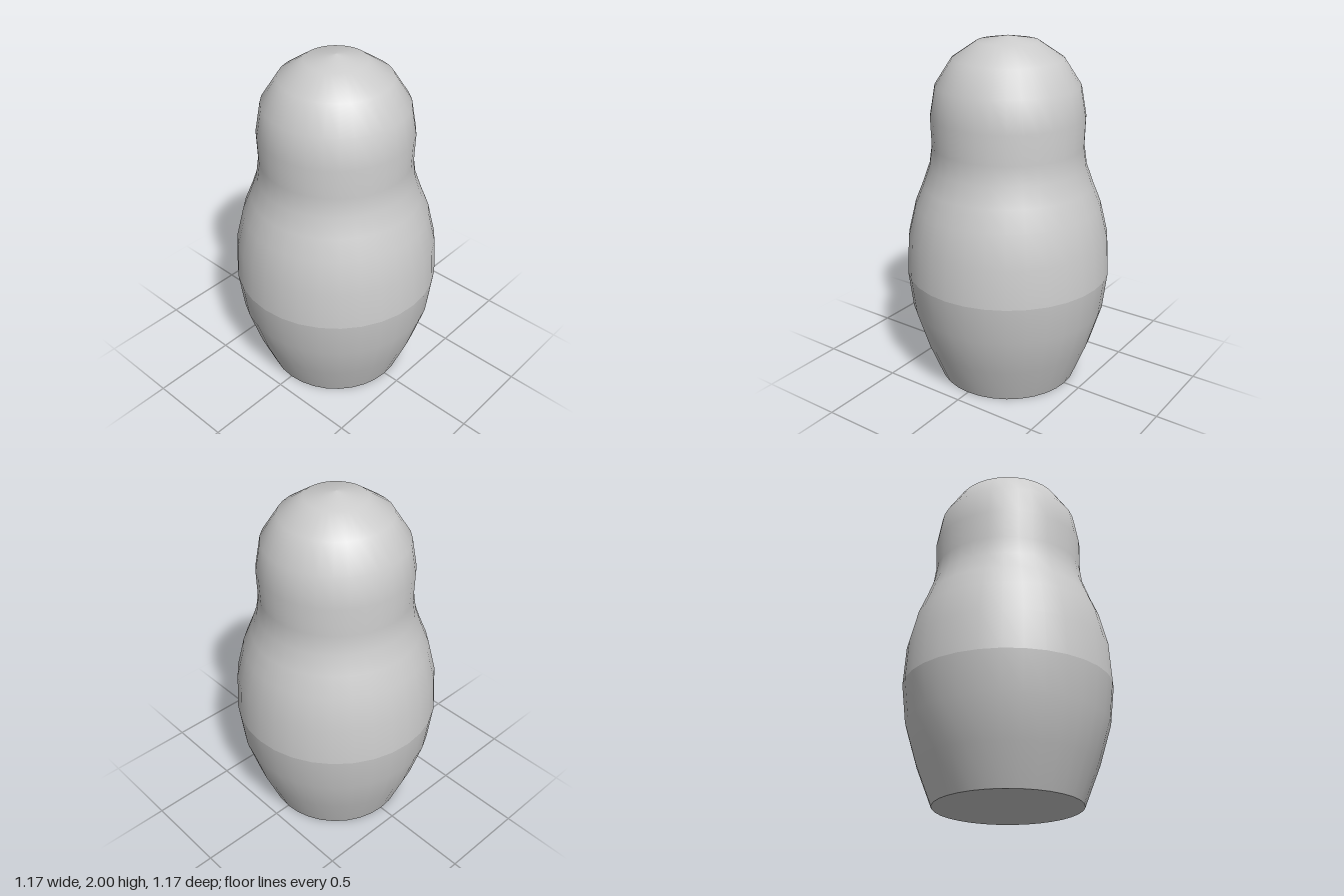
import * as THREE from 'three';

const SIDES = 32;

export function createModel() {
  const group = new THREE.Group();
  group.name = 'nestingDoll';
  const material = new THREE.MeshStandardMaterial({ color: 0xcccccc });

  const add = (name, geometry) => {
    const mesh = new THREE.Mesh(geometry, material);
    mesh.name = name;
    group.add(mesh);
    return mesh;
  };
  const turned = (profile) =>
    new THREE.LatheGeometry(profile.map(([r, y]) => new THREE.Vector2(r, y)), SIDES);

  // Lower half, from the foot to the seam
  add('lowerBody', turned([[0.405, 0], [0.492, 0.22], [0.56, 0.445], [0.585, 0.66]]));

  // Upper half: shoulders, neck and domed head; its own normals keep the seam crisp
  add('upperBody', turned([
    [0.585, 0.66], [0.572, 0.88], [0.527, 1.065], [0.48, 1.18], [0.441, 1.29], [0.425, 1.4],
    [0.43, 1.565], [0.4, 1.735], [0.307, 1.878], [0.17, 1.97], [0, 2],
  ]));

  // Flat base
  const base = add('base', new THREE.CircleGeometry(0.405, SIDES));
  base.rotation.x = Math.PI / 2;

  return group;
}
